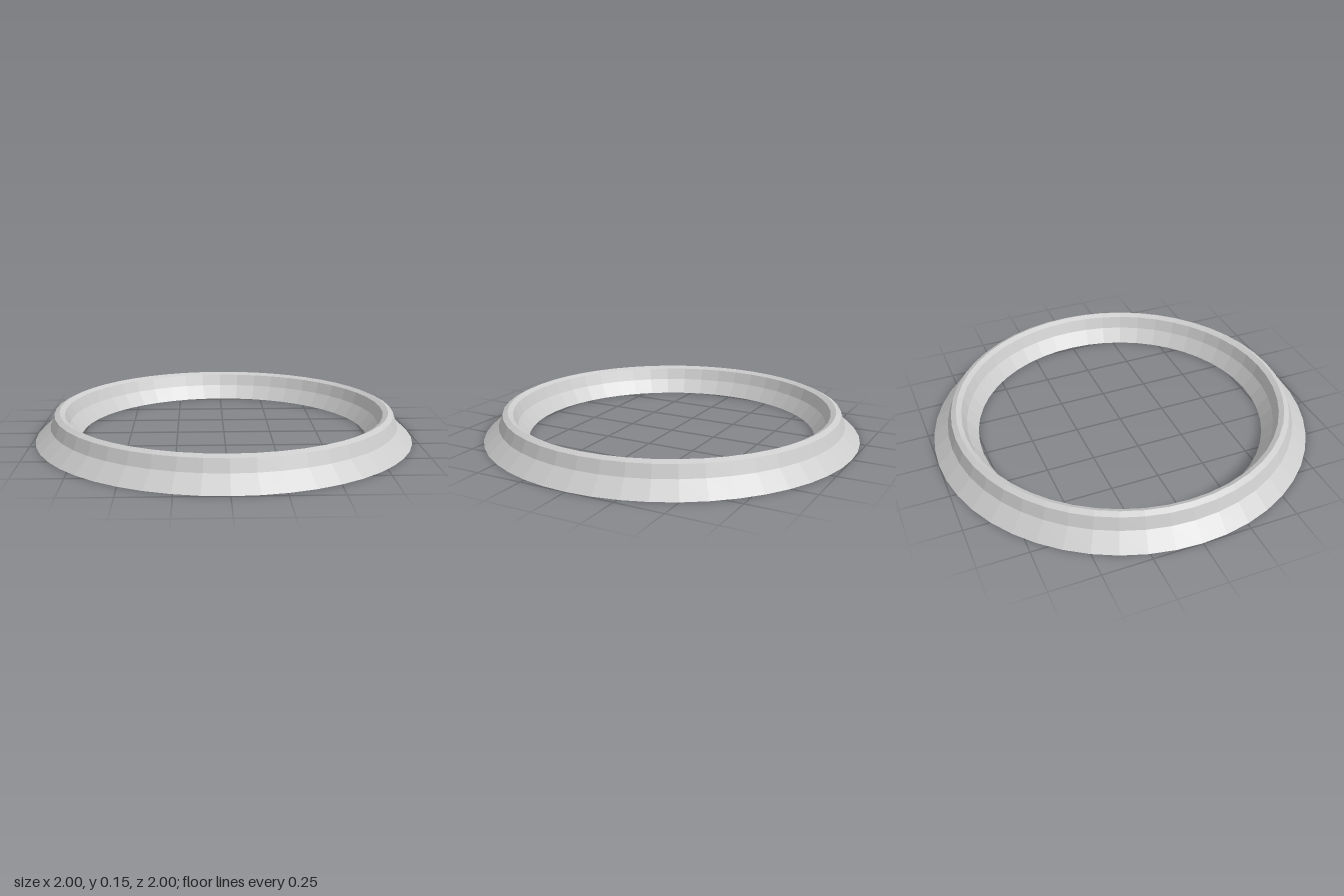
import * as THREE from 'three';

// Low ring with a raised ridge: a thin open-bottomed shell revolved around y.
export function createModel() {
  const group = new THREE.Group();
  group.name = 'ring';

  // Cross-section from the outer foot, over the ridge, to the inner foot
  const profile = [
    [1.0, 0], [0.92, 0.075], [0.897, 0.137], [0.87, 0.15],
    [0.843, 0.137], [0.82, 0.075], [0.765, 0],
  ].map(([r, y]) => new THREE.Vector2(r, y));

  const material = new THREE.MeshStandardMaterial({
    color: 0xcccccc,
    flatShading: true,
    side: THREE.DoubleSide,
  });
  const shell = new THREE.Mesh(new THREE.LatheGeometry(profile, 48), material);
  shell.name = 'ringShell';
  group.add(shell);
  return group;
}
